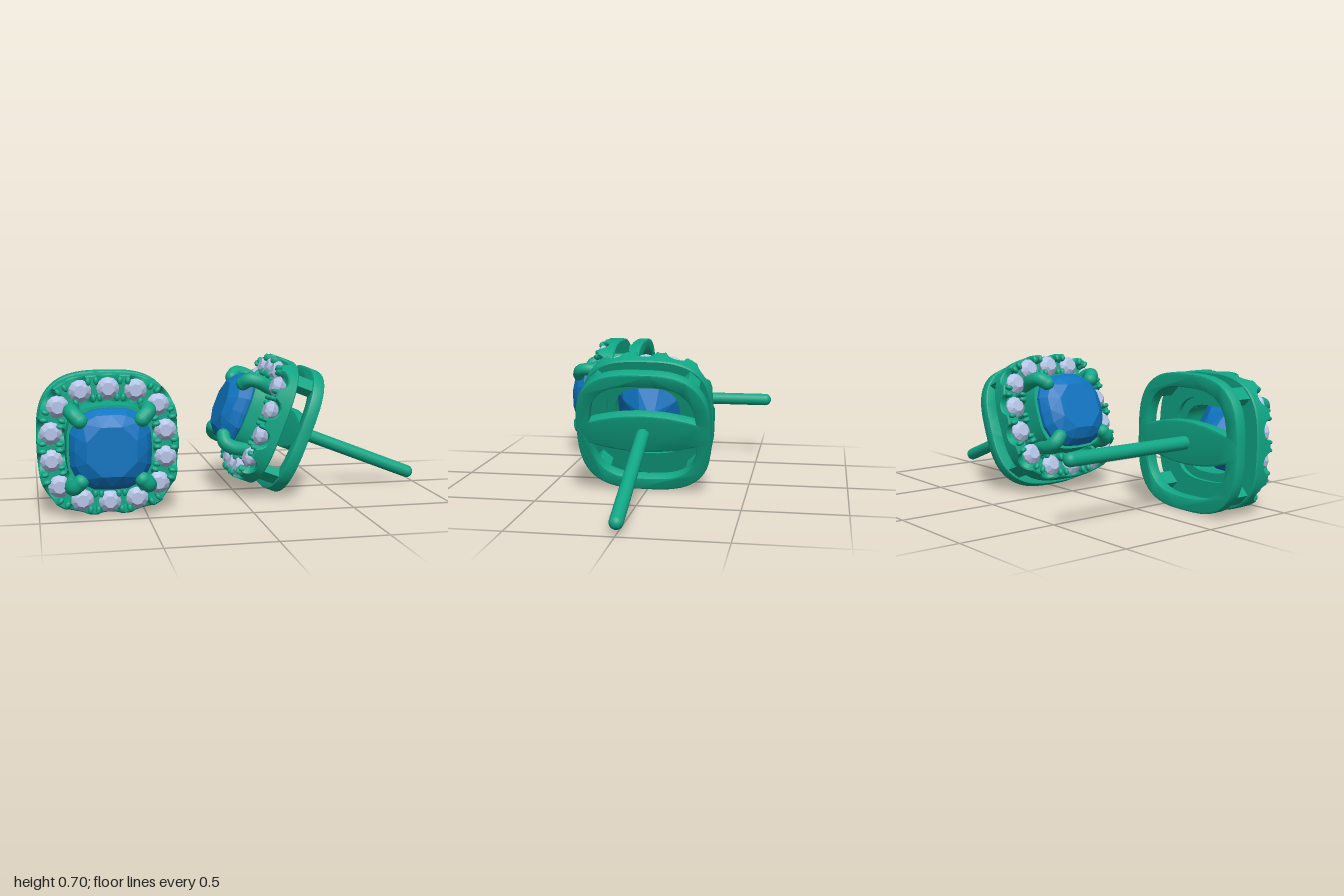
import * as THREE from 'three';
import { toCreasedNormals } from 'three/addons/utils/BufferGeometryUtils.js';
import { ConvexGeometry } from 'three/addons/geometries/ConvexGeometry.js';

const metal = new THREE.MeshStandardMaterial({ color: 0x10a685 });
const blue = new THREE.MeshStandardMaterial({ color: 0x0f74c0 });
const pale = new THREE.MeshStandardMaterial({ color: 0xb4c2e4 });
const STONES = 14;

// Point on a cushion (bulging rounded square) of half-width h
function cushion(h, angle, n = 3) {
  const c = Math.cos(angle), s = Math.sin(angle);
  const r = h / Math.pow(Math.abs(c) ** n + Math.abs(s) ** n, 1 / n);
  return new THREE.Vector2(r * c, r * s);
}

function cushionPoints(h, count, start = 0, span = Math.PI * 2) {
  return Array.from({ length: count + 1 }, (_, i) => cushion(h, start + (span * i) / count));
}

// Evenly spaced points round the unit cushion, starting at the top
function spaced(count) {
  return new THREE.Shape(cushionPoints(1, 144, Math.PI / 2)).getSpacedPoints(count).slice(0, count);
}

// Sweep a closed section of [half-width, z] points round the cushion
function sweep(count, section) {
  const pos = [], index = [];
  let m = 0;
  spaced(count).forEach((p, i) => {
    const ring = section(i);
    m = ring.length;
    ring.forEach(([h, z]) => pos.push(p.x * h, p.y * h, z));
  });
  for (let i = 0; i < count; i++) {
    for (let j = 0; j < m; j++) {
      const i2 = (i + 1) % count, j2 = (j + 1) % m;
      const a = i * m + j, b = i2 * m + j, c = i2 * m + j2, d = i * m + j2;
      index.push(a, b, c, a, c, d);
    }
  }
  const geo = new THREE.BufferGeometry();
  geo.setAttribute('position', new THREE.Float32BufferAttribute(pos, 3));
  geo.setIndex(index);
  return toCreasedNormals(geo, 0.5);
}

// Faceted stone from rings of [half-width, z, sides, angle offset, roundness]
function facetedStone(rings) {
  const pts = [];
  for (const [h, z, sides, offset, n] of rings) {
    for (let i = 0; i < sides; i++) {
      const p = cushion(h, ((i + offset) / sides) * Math.PI * 2, n);
      pts.push(new THREE.Vector3(p.x, p.y, z));
    }
  }
  return new ConvexGeometry(pts);
}

function createEarring() {
  const earring = new THREE.Group();
  const add = (name, geo, mat = metal, x = 0, y = 0, z = 0) => {
    const mesh = new THREE.Mesh(geo, mat);
    mesh.name = name;
    mesh.position.set(x, y, z);
    earring.add(mesh);
    return mesh;
  };

  // Back frame: two openings leave a lens-shaped bar across the middle
  const plate = new THREE.Shape(cushionPoints(0.324, 96));
  for (const start of [0, Math.PI]) {
    const arc = cushionPoints(0.272, 48, start + 0.2, Math.PI - 0.4);
    const hole = new THREE.Path(arc);
    hole.quadraticCurveTo(0, start ? -0.14 : 0.14, arc[0].x, arc[0].y);
    plate.holes.push(hole);
  }
  const plateGeo = new THREE.ExtrudeGeometry(plate, {
    depth: 0.046, bevelThickness: 0.008, bevelSize: 0.008, bevelSegments: 2, curveSegments: 16,
  });
  add('backFrame', toCreasedNormals(plateGeo, 0.5), metal, 0, 0, 0.163);

  // Ear post with rounded end
  add('post', new THREE.CapsuleGeometry(0.033, 0.694, 8, 24).rotateX(Math.PI / 2), metal, 0, 0, -0.19);

  // Corner struts and claws
  const clawPath = new THREE.CatmullRomCurve3([
    [0.15, 0.33], [0.168, 0.41], [0.177, 0.465], [0.168, 0.51], [0.14, 0.525],
  ].map(([d, z]) => new THREE.Vector3(d * Math.SQRT2, 0, z)));
  const clawGeo = new THREE.TubeGeometry(clawPath, 20, 0.036, 14);
  const tipGeo = new THREE.SphereGeometry(0.036, 14, 10);
  for (let i = 0; i < 4; i++) {
    const angle = Math.PI / 4 + (i * Math.PI) / 2;
    const c = Math.cos(angle), s = Math.sin(angle);
    add('strut', new THREE.BoxGeometry(0.05, 0.07, 0.11), metal, c * 0.333, s * 0.333, 0.255).rotation.z = angle;
    add('claw', clawGeo).rotation.z = angle;
    add('clawTip', tipGeo, metal, c * 0.14 * Math.SQRT2, s * 0.14 * Math.SQRT2, 0.525);
  }

  // Halo: a channel whose walls are scalloped at each stone
  const per = 20, pitch = 0.138, notch = 0.044;
  add('halo', sweep(STONES * per, (i) => {
    const k = i % per;
    const d = (Math.min(k, per - k) / per) * pitch;
    const top = 0.392 - (d < notch ? Math.sqrt(notch * notch - d * d) : 0);
    return [
      [0.325, 0.298], [0.331, 0.304], [0.331, top - 0.006], [0.325, top], [0.302, top],
      [0.302, 0.335], [0.232, 0.335], [0.232, top], [0.205, top], [0.205, 0.298],
    ];
  }));

  // Basket that holds the centre stone
  add('basket', sweep(96, () => [[0.206, 0.32], [0.2, 0.465], [0.178, 0.465], [0.165, 0.32]]));

  // Centre stone
  add('centreStone', facetedStone([
    [0.118, 0.57, 8, 0.5, 2.6], [0.165, 0.535, 8, 0, 2.8], [0.166, 0.53, 8, 0.5, 2.8],
    [0.19, 0.49, 16, 0, 3], [0.19, 0.472, 16, 0, 3],
    [0.135, 0.38, 8, 0.5, 2.8], [0.05, 0.3, 8, 0, 2.6],
  ]), blue);

  // Halo stones, with a pair of small prongs inside and outside each gap
  const haloStoneGeo = facetedStone([
    [0.03, 0.412, 8, 0.5, 2], [0.053, 0.388, 12, 0, 2], [0.053, 0.38, 12, 0, 2], [0.025, 0.338, 8, 0.5, 2],
  ]);
  const prongGeo = new THREE.CapsuleGeometry(0.012, 0.04, 4, 10).rotateX(Math.PI / 2).scale(1.6, 1, 1);
  const marks = spaced(STONES * 8);
  marks.forEach((p, i) => {
    const a = marks[(i + marks.length - 1) % marks.length], b = marks[(i + 1) % marks.length];
    const facing = Math.atan2(b.y - a.y, b.x - a.x) - Math.PI / 2;
    const k = i % 8;
    if (k === 0) {
      add('haloStone', haloStoneGeo, pale, p.x * 0.268, p.y * 0.268, 0).rotation.z = facing;
    } else if (k === 3 || k === 5) {
      for (const h of [0.306, 0.228]) {
        add('prong', prongGeo, metal, p.x * h, p.y * h, 0.383).rotation.z = facing;
      }
    }
  });
  return earring;
}

export function createModel() {
  const model = new THREE.Group();
  model.name = 'studEarrings';

  // First earring faces the front
  const first = createEarring();
  first.name = 'frontFacingEarring';
  first.position.set(-0.67, 0.335, 0);

  // Second earring faces the model's right and rests tilted on its post
  const second = first.clone();
  second.name = 'tiltedEarring';
  const tilt = THREE.MathUtils.degToRad(21.5), c = Math.cos(tilt), s = Math.sin(tilt);
  second.quaternion.setFromRotationMatrix(new THREE.Matrix4().makeBasis(
    new THREE.Vector3(0, 0, 1), new THREE.Vector3(s, c, 0), new THREE.Vector3(-c, s, 0),
  ));
  second.position.set(0.465, 0.255, 0);

  model.add(first, second);
  return model;
}
